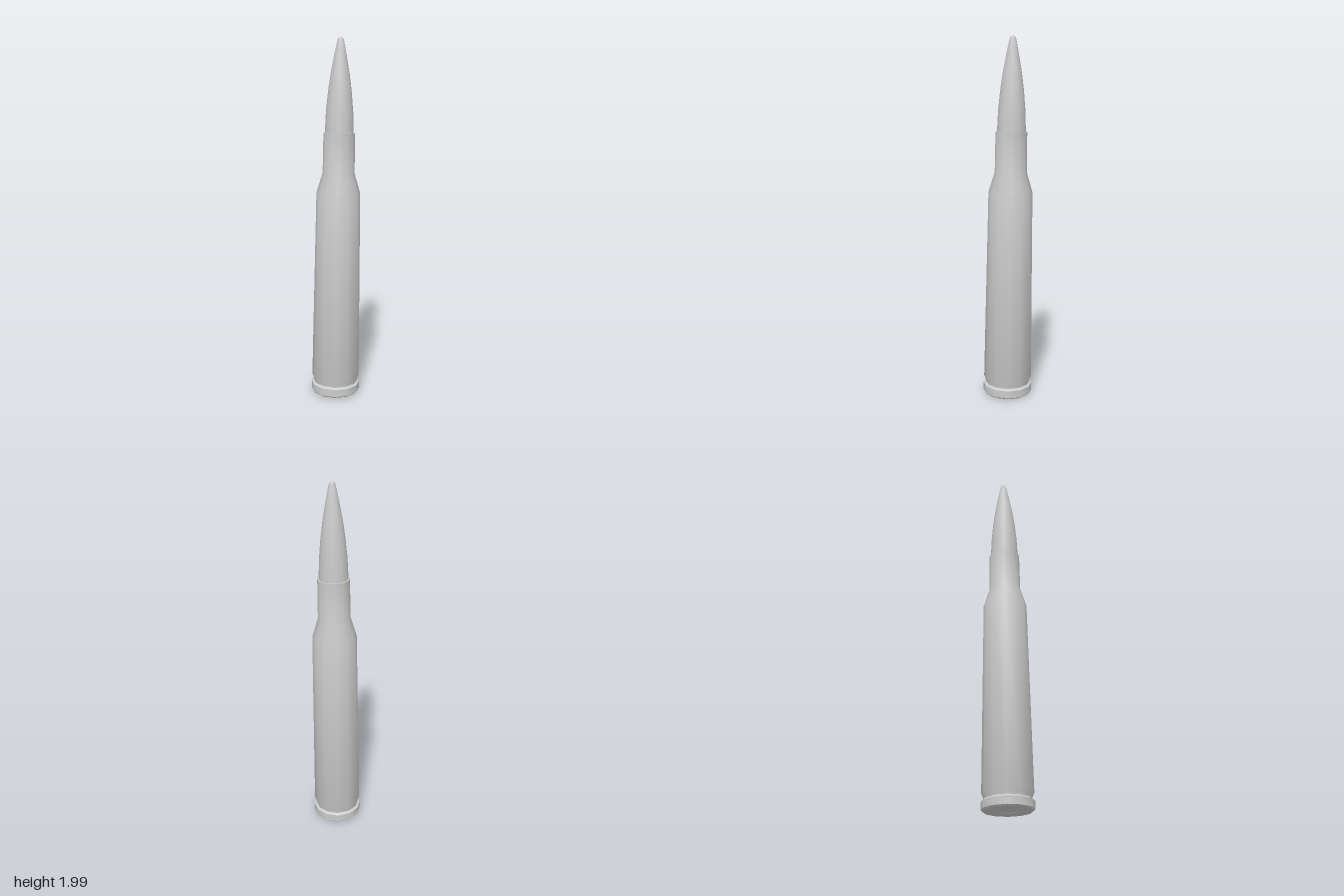
import * as THREE from 'three';
import { toCreasedNormals } from 'three/addons/utils/BufferGeometryUtils.js';

const SIDES = 12;
const PHASE = THREE.MathUtils.degToRad(18);

// Revolve a [radius, height] profile, listed from bottom to top
function turned(name, profile) {
  const points = profile.map(([r, y]) => new THREE.Vector2(r, y));
  const lathe = new THREE.LatheGeometry(points, SIDES, PHASE);
  const material = new THREE.MeshStandardMaterial({ color: 0xcccccc, side: THREE.DoubleSide });
  const mesh = new THREE.Mesh(toCreasedNormals(lathe, 0.65), material);
  mesh.name = name;
  return mesh;
}

export function createModel() {
  const model = new THREE.Group();
  model.name = 'cartridge';

  const body = new THREE.Group();
  body.name = 'tiltedCartridge';
  body.add(
    // Recessed disc in the middle of the base
    turned('primer', [[0, 0.01], [0.044, 0.01], [0.047, 0.013]]),
    // Base, extraction rim, groove, tapered wall, shoulder and neck
    turned('case', [
      [0.047, 0.013], [0.05, 0.008], [0.128, 0.008], [0.137, 0.016],
      [0.137, 0.058], [0.13, 0.063], [0.124, 0.066], [0.124, 0.075],
      [0.134, 0.1], [0.121, 1.16], [0.088, 1.27], [0.086, 1.49],
      [0.078, 1.49], [0.078, 1.46],
    ]),
    // Pointed bullet with a small rounded tip
    turned('bullet', [
      [0.079, 1.46], [0.078, 1.5], [0.074, 1.6], [0.064, 1.71],
      [0.052, 1.8], [0.034, 1.9], [0.019, 1.975], [0.014, 1.991], [0, 2],
    ]),
  );

  // The whole round leans slightly
  body.rotation.set(-0.0115, 0, -0.017);
  body.position.set(-0.004, 0, 0.002);
  model.add(body);
  return model;
}
